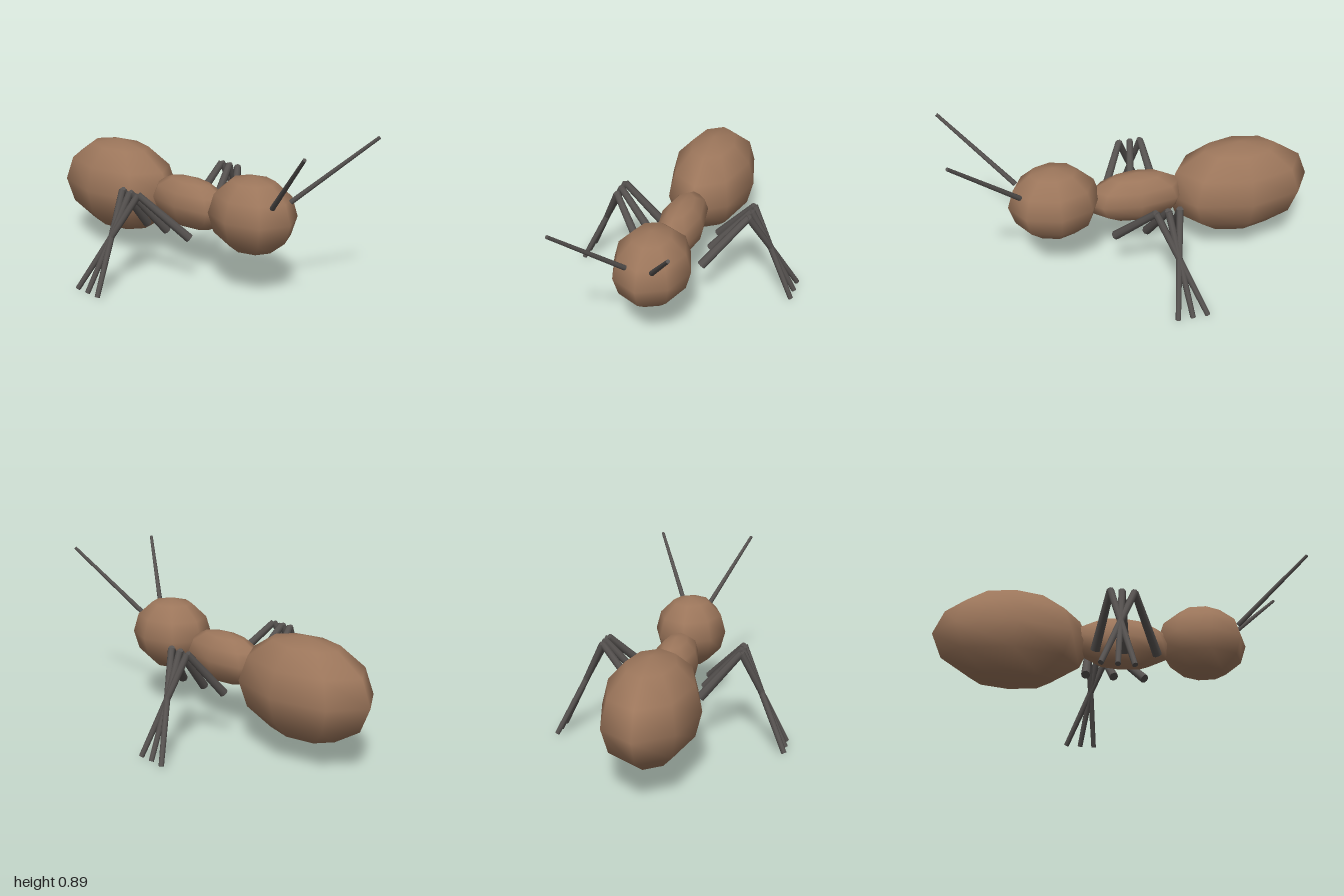
import * as THREE from 'three';

const brown = new THREE.MeshStandardMaterial({ color: 0x9c765b });
brown.name = 'brown body';
const grey = new THREE.MeshStandardMaterial({ color: 0x565250 });
grey.name = 'dark grey limbs';

// Low-poly ellipsoid with smooth normals
function ellipsoid(name, center, radii) {
  const geometry = new THREE.SphereGeometry(1, 8, 6).scale(...radii);
  const mesh = new THREE.Mesh(geometry, brown);
  mesh.name = name;
  mesh.position.set(...center);
  return mesh;
}

// Tapered rod running from point a to point b
function rod(name, a, b, radiusA, radiusB) {
  const start = new THREE.Vector3(...a);
  const end = new THREE.Vector3(...b);
  const direction = end.clone().sub(start);
  const mesh = new THREE.Mesh(
    new THREE.CylinderGeometry(radiusB, radiusA, direction.length(), 8), grey);
  mesh.name = name;
  mesh.position.copy(start).add(end).multiplyScalar(0.5);
  mesh.quaternion.setFromUnitVectors(new THREE.Vector3(0, 1, 0), direction.normalize());
  return mesh;
}

export function createModel() {
  const model = new THREE.Group();
  model.name = 'ant';

  // Three body segments
  model.add(
    ellipsoid('abdomen', [-0.585, 0.372, 0], [0.415, 0.267, 0.248]),
    ellipsoid('thorax', [0, 0.393, 0], [0.29, 0.142, 0.124]),
    ellipsoid('head', [0.45, 0.435, 0], [0.248, 0.205, 0.205])
  );

  // Hip, knee and foot x for each leg
  const legs = [
    ['rearLeg', -0.168, -0.125, -0.05],
    ['middleLeg', -0.012, -0.065, -0.13],
    ['frontLeg', 0.16, 0, -0.21]
  ];

  for (const side of [1, -1]) {
    const sideName = side > 0 ? 'Near' : 'Far';

    // Legs bent at a raised knee
    for (const [name, hipX, kneeX, footX] of legs) {
      const hip = [hipX, 0.27, side * 0.165];
      const knee = [kneeX, 0.516, side * 0.372];
      const foot = [footX, 0.008, side * 0.62];
      const leg = new THREE.Group();
      leg.name = name + sideName;
      leg.add(
        rod('upperLeg', hip, knee, 0.025, 0.019),
        rod('lowerLeg', knee, foot, 0.019, 0.014)
      );
      model.add(leg);
    }

    // Antenna sweeping forward, up and out
    model.add(rod('antenna' + sideName,
      [0.64, 0.53, side * 0.07], [0.99, 0.887, side * 0.28], 0.014, 0.009));
  }

  return model;
}
